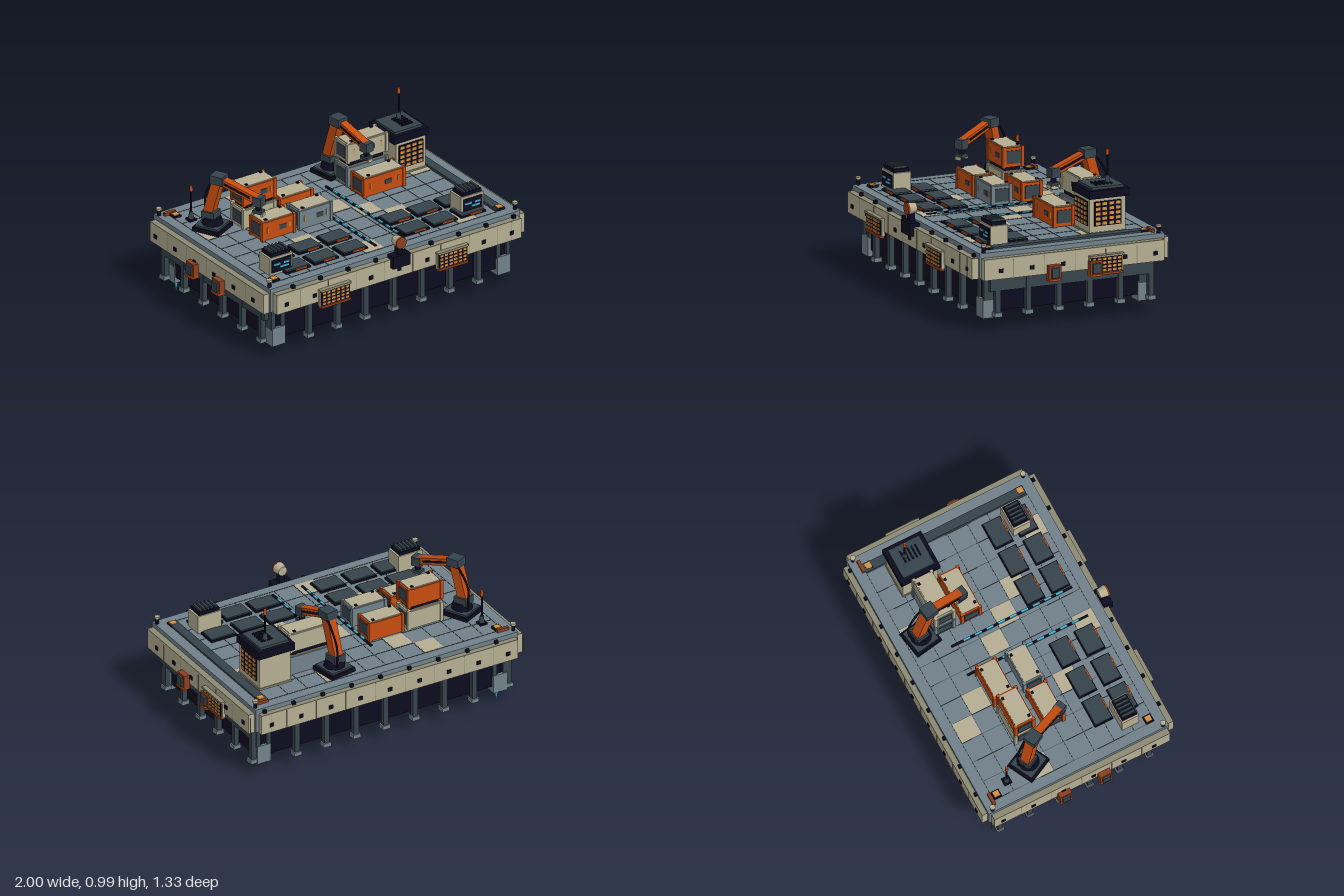
import * as THREE from 'three';

const mat = (name, color) => Object.assign(new THREE.MeshStandardMaterial({ color }), { name });
const M = {
  cream: mat('cream panel', 0xb5ae93),
  khaki: mat('khaki trim', 0x8c8a72),
  grey: mat('deck grey', 0x71818a),
  slate: mat('dark slate', 0x36434c),
  navy: mat('navy black', 0x0d0c20),
  orange: mat('orange paint', 0xc54c10),
  rust: mat('rust', 0x8c3e1e),
  amber: mat('amber light', 0xd89040),
  cyan: mat('cyan light', 0x48b4d2),
};

function add(parent, name, geo, m, x = 0, y = 0, z = 0) {
  const mesh = new THREE.Mesh(geo, m);
  mesh.name = name;
  mesh.position.set(x, y, z);
  parent.add(mesh);
  return mesh;
}
// Box centred in x and z, with its bottom at y
const box = (p, name, m, w, h, d, x, y, z) =>
  add(p, name, new THREE.BoxGeometry(w, h, d), m, x, y + h / 2, z);
// Upright cylinder with its bottom at y
const cyl = (p, name, m, r0, r1, h, x, y, z, n = 8) =>
  add(p, name, new THREE.CylinderGeometry(r1, r0, h, n), m, x, y + h / 2, z);
function group(parent, name, x, y, z, ry = 0) {
  const g = new THREE.Group();
  g.name = name;
  g.position.set(x, y, z);
  g.rotation.y = ry;
  parent.add(g);
  return g;
}

// Lit window panel facing +z, centred on its own origin
function windows(parent, w, h, cols, rows, x, y, z, ry = 0) {
  const g = group(parent, 'windowPanel', x, y, z, ry);
  box(g, 'windowBacking', M.navy, w, h, 0.012, 0, -h / 2, 0);
  const pw = w / cols, ph = h / rows;
  for (let i = 0; i < cols; i++) for (let j = 0; j < rows; j++)
    box(g, 'windowPane', M.amber, pw * 0.68, ph * 0.6, 0.004,
      (i + 0.5) * pw - w / 2, (j + 0.2) * ph - h / 2, 0.007);
  return g;
}

// Cargo crate with rails, lid and end plates
function crate(parent, m, w, x, y, z) {
  const g = group(parent, 'crate', x, y, z), h = 0.13, d = 0.14;
  box(g, 'crateBody', m, w - 0.012, h - 0.012, d - 0.012, 0, 0.004, 0);
  for (const sx of [-1, 1]) {
    for (const sz of [-1, 1])
      box(g, 'cratePost', m, 0.02, h, 0.02, sx * (w / 2 - 0.01), 0, sz * (d / 2 - 0.01));
    box(g, 'crateEndPlate', M.slate, 0.006, 0.08, 0.09, sx * (w / 2 - 0.004), 0.025, 0);
    box(g, 'crateMark', M.amber, 0.008, 0.035, 0.004, sx * w * 0.33, 0.05, d / 2 - 0.005);
    box(g, 'lidClamp', M.navy, 0.016, 0.008, 0.016, sx * w * 0.34, h, -sx * 0.045);
  }
  box(g, 'crateDoor', M.slate, 0.05, 0.03, 0.004, 0.03, 0.05, d / 2 - 0.005);
  box(g, 'crateLid', M.cream, w - 0.03, 0.006, d - 0.025, 0, h - 0.006, 0);
}

// Crane arm reaching along its own +z
function craneArm(parent, x, z, ry, elbow, wrist) {
  const g = group(parent, 'craneArm', x, 0.5, z, ry);
  box(g, 'craneBase', M.navy, 0.18, 0.025, 0.18, 0, 0, 0);
  box(g, 'craneBasePlate', M.slate, 0.155, 0.012, 0.155, 0, 0.025, 0);
  cyl(g, 'turntable', M.navy, 0.066, 0.055, 0.045, 0, 0.035, 0, 12);
  box(g, 'shoulder', M.slate, 0.085, 0.05, 0.085, 0, 0.07, -0.01);
  const shoulder = [0.1, -0.02];
  const beam = (name, a, b, w, t) => {
    const dy = b[0] - a[0], dz = b[1] - a[1];
    const m = add(g, name, new THREE.BoxGeometry(w, Math.hypot(dy, dz), t), M.orange,
      0, (a[0] + b[0]) / 2, (a[1] + b[1]) / 2);
    m.rotation.x = Math.atan2(dz, dy);
    return m;
  };
  beam('lowerArm', shoulder, elbow, 0.062, 0.06);
  beam('forearm', elbow, wrist, 0.05, 0.045);
  for (const s of [-1, 1])
    add(beam('armRib', elbow, wrist, 0.004, 0.014), 'ribLine', new THREE.BoxGeometry(0.004, 0.18, 0.014),
      M.navy, s * 0.026, 0, 0);
  box(g, 'elbowJoint', M.slate, 0.08, 0.055, 0.085, 0, elbow[0] - 0.025, elbow[1]);
  // Gripper
  box(g, 'wristJoint', M.slate, 0.06, 0.06, 0.06, 0, wrist[0] - 0.035, wrist[1]);
  cyl(g, 'gripperStem', M.navy, 0.018, 0.018, 0.04, 0, wrist[0] - 0.07, wrist[1]);
  box(g, 'gripperHead', M.slate, 0.05, 0.02, 0.06, 0, wrist[0] - 0.085, wrist[1]);
  for (const s of [-1, 1])
    box(g, 'gripperFinger', M.cream, 0.04, 0.02, 0.012, 0, wrist[0] - 0.1, wrist[1] + s * 0.03);
  // Hose
  const curve = new THREE.CatmullRomCurve3([
    new THREE.Vector3(0.03, 0.06, -0.06), new THREE.Vector3(0.035, 0.2, -0.065),
    new THREE.Vector3(0.035, elbow[0] - 0.03, elbow[1] - 0.05), new THREE.Vector3(0.03, elbow[0] + 0.01, elbow[1])]);
  add(g, 'hose', new THREE.TubeGeometry(curve, 10, 0.007, 5), M.navy);
}

function mast(parent, x, y, z, h) {
  cyl(parent, 'mastFoot', M.slate, 0.02, 0.012, h * 0.25, x, y, z);
  cyl(parent, 'mastPole', M.navy, 0.006, 0.006, h, x, y, z, 6);
  cyl(parent, 'mastLamp', M.orange, 0.011, 0.009, 0.035, x, y + h - 0.03, z);
}

export function createModel() {
  const root = new THREE.Group();
  root.name = 'cargoPlatform';

  // Hull and deck
  box(root, 'hull', M.navy, 1.72, 0.225, 1.085, 0, 0.12, -0.008);
  box(root, 'underSkirt', M.slate, 1.8, 0.09, 1.05, 0, 0.25, -0.008);
  box(root, 'deck', M.grey, 1.82, 0.155, 1.215, 0, 0.34, -0.015);
  box(root, 'sideRim', M.cream, 1.9, 0.125, 1.185, 0, 0.335, -0.012);
  box(root, 'endRim', M.cream, 1.78, 0.125, 1.29, 0, 0.335, -0.012);
  box(root, 'sideRimCap', M.khaki, 1.9, 0.006, 1.185, 0, 0.459, -0.012);
  box(root, 'endRimCap', M.khaki, 1.78, 0.006, 1.29, 0, 0.459, -0.012);
  for (const s of [-1, 1]) {
    for (let i = -4; i <= 4; i++) {
      box(root, 'rimVent', M.navy, 0.026, 0.024, 0.012, i * 0.205, 0.375, -0.012 + s * 0.645);
      box(root, 'rimBolt', M.navy, 0.022, 0.02, 0.02, i * 0.205 * 0.98 + 0.05, 0.465, -0.012 + s * 0.617);
      box(root, 'rimSeam', M.khaki, 0.004, 0.12, 0.004, i * 0.205 + 0.1 * (i < 4), 0.338, -0.012 + s * 0.645);
    }
    for (let i = 0; i < 6; i++) {
      const z = 0.47 - i * 0.203;
      box(root, 'sideVent', M.navy, 0.012, 0.024, 0.028, s * 0.95, 0.375, z);
      box(root, 'sideSeam', M.khaki, 0.004, 0.11, 0.004, s * 0.95, 0.34, z - 0.08);
    }
    for (const z of [-0.14, 0.13]) {   // side ports
      box(root, 'portFrame', M.rust, 0.04, 0.09, 0.08, s * 0.965, 0.3, z);
      box(root, 'portSill', M.orange, 0.05, 0.012, 0.08, s * 0.97, 0.296, z);
      box(root, 'portDoor', M.slate, 0.032, 0.062, 0.052, s * 0.982, 0.315, z);
    }
  }

  // Deck tiles and seams
  const T = 0.1355, X0 = -0.845, Z0 = -0.555, top = 0.495;
  for (let i = 0; i <= 12; i++) box(root, 'deckSeam', M.slate, 0.003, 0.002, 1.085, X0 + i * T, top, -0.013);
  for (let j = 0; j <= 8; j++) box(root, 'deckSeam', M.slate, 1.63, 0.002, 0.003, -0.03, top, Z0 + j * T);
  for (const [i, j] of [[3, 0], [4, 1], [8, 0], [6, 3], [7, 4], [8, 5], [5, 7], [10, 7], [3, 5], [0, 2], [11, 2]])
    box(root, 'paleTile', M.cream, T - 0.003, 0.003, T - 0.003, X0 + (i + 0.5) * T, top, Z0 + (j + 0.5) * T);

  // Guide tracks
  for (const x of [-0.069, 0.135]) {
    box(root, 'track', M.navy, 0.014, 0.01, 0.815, x, top, 0.083);
    for (let i = 0; i < 9; i++) box(root, 'trackLight', M.cyan, 0.015, 0.006, 0.045, x, top + 0.006, -0.22 + i * 0.078);
  }
  box(root, 'cableDuct', M.slate, 0.058, 0.012, 1.08, 0.815, top, -0.015);

  // Hatches
  for (const x of [-0.63, -0.425, -0.212, 0.238, 0.442, 0.645]) for (const z of [0.257, 0.425]) {
    box(root, 'hatchFrame', M.navy, 0.178, 0.012, 0.124, x, top, z);
    box(root, 'hatchLid', M.slate, 0.164, 0.02, 0.11, x, top, z);
    box(root, 'hatchHandle', M.orange, 0.08, 0.008, 0.008, x + 0.02, top + 0.008, z + 0.06);
  }

  // Corner lights, bollards and columns
  for (const sx of [-1, 1]) for (const sz of [-1, 1]) {
    const z = sz > 0 ? 0.5 : -0.525;
    box(root, 'lampFrame', M.navy, 0.052, 0.012, 0.052, sx * 0.82, top, z);
    box(root, 'deckLamp', M.amber, 0.036, 0.016, 0.036, sx * 0.82, top, z);
    if (sz < 0) box(root, 'cornerMarker', M.rust, 0.08, 0.02, 0.02, sx * 0.835, top, -0.565);
    const bz = sz > 0 ? 0.56 : -0.59;
    cyl(root, 'bollard', M.navy, 0.012, 0.012, 0.06, sx * 0.895, 0.48, bz);
    cyl(root, 'bollardCap', M.cream, 0.018, 0.018, 0.012, sx * 0.895, 0.533, bz);
    const cz = -0.008 + sz * 0.51;
    for (const k of [-1, 1]) box(root, 'cornerStrut', M.slate, 0.028, 0.16, 0.09, sx * 0.82 + k * 0.035, 0.19, cz);
    box(root, 'cornerFoot', M.grey, 0.095, 0.12, 0.1, sx * 0.82, 0.08, cz);
    cyl(root, 'footRing', M.rust, 0.035, 0.04, 0.01, sx * 0.82, 0.072, cz, 10);
    cyl(root, 'footThruster', M.cyan, 0.018, 0.022, 0.008, sx * 0.82, 0.066, cz, 10);
  }
  cyl(root, 'probe', M.cyan, 0.003, 0.014, 0.075, -0.82, 0, -0.518);

  // Legs around the hull
  const leg = (x, z) => {
    box(root, 'leg', M.slate, 0.034, 0.24, 0.034, x, 0.1, z);
    box(root, 'legFoot', M.grey, 0.05, 0.026, 0.05, x, 0.09, z);
  };
  for (let i = -3; i <= 3; i++) for (const z of [0.57, -0.595]) leg(i * 0.205, z);
  for (let i = 0; i < 6; i++) for (const s of [-1, 1]) leg(s * 0.885, 0.467 - i * 0.2015);

  // Lit window bays
  const bay = (x, z, ry) => {
    const g = group(root, 'windowBay', x, 0.36, z, ry);
    box(g, 'bayBox', M.cream, 0.22, 0.1, 0.02, 0, -0.05, 0);
    windows(g, 0.2, 0.092, 6, 4, 0, 0, 0.012);
    box(g, 'bayHood', M.khaki, 0.225, 0.012, 0.035, 0, 0.048, 0.006);
    box(g, 'baySill', M.rust, 0.215, 0.014, 0.03, 0, -0.064, 0.006);
  };
  bay(-0.478, 0.638, 0);
  bay(0.378, 0.638, 0);
  bay(0.955, -0.215, Math.PI / 2);

  // Searchlight at the front edge
  box(root, 'lightBracket', M.navy, 0.125, 0.08, 0.06, 0, 0.41, 0.632);
  box(root, 'lightPost', M.navy, 0.035, 0.07, 0.035, 0, 0.48, 0.625);
  add(root, 'lightHousing', new THREE.CylinderGeometry(0.038, 0.03, 0.05, 14), M.cream, 0, 0.568, 0.622).rotation.x = Math.PI / 2;
  add(root, 'lightLens', new THREE.CylinderGeometry(0.038, 0.038, 0.012, 14), M.rust, 0, 0.568, 0.652).rotation.x = Math.PI / 2;

  // Crates
  crate(root, M.cream, 0.245, -0.472, top, -0.21);
  crate(root, M.orange, 0.245, -0.472, 0.645, -0.21);
  crate(root, M.orange, 0.245, -0.472, top, -0.01);
  crate(root, M.orange, 0.245, -0.203, top, -0.21);
  crate(root, M.grey, 0.245, -0.203, top, -0.01);
  crate(root, M.orange, 0.305, 0.385, top, -0.135);
  crate(root, M.grey, 0.3, 0.385, top, -0.312);
  crate(root, M.cream, 0.3, 0.385, 0.65, -0.312);
  box(root, 'stackSpacer', M.navy, 0.2, 0.022, 0.1, -0.472, 0.624, -0.21);
  box(root, 'stackSpacer', M.navy, 0.25, 0.028, 0.1, 0.385, 0.624, -0.312);

  // Control tower
  const t = group(root, 'controlTower', 0.662, top, -0.312);
  box(t, 'towerBody', M.cream, 0.215, 0.225, 0.235, 0, 0, 0);
  box(t, 'towerPlinth', M.khaki, 0.225, 0.012, 0.245, 0, 0, 0);
  box(t, 'towerRoof', M.navy, 0.25, 0.05, 0.262, 0, 0.22, -0.006);
  box(t, 'roofTier', M.slate, 0.2, 0.016, 0.21, 0, 0.27, -0.006);
  for (let i = -2; i <= 2; i++) box(t, 'roofVent', M.navy, 0.08, 0.01, 0.01, 0.02, 0.284, i * 0.025);
  windows(t, 0.175, 0.15, 4, 5, 0, 0.125, 0.12);
  windows(t, 0.175, 0.15, 4, 5, 0.11, 0.125, 0, Math.PI / 2);
  mast(root, 0.685, 0.775, -0.35, 0.21);
  mast(root, -0.772, top, -0.43, 0.225);
  box(root, 'mastPlate', M.navy, 0.05, 0.012, 0.05, -0.772, top, -0.43);

  // Control consoles
  for (const x of [-0.727, 0.665]) {
    const g = group(root, 'console', x, top, 0.388);
    box(g, 'consoleBody', M.cream, 0.165, 0.115, 0.115, 0, 0, 0);
    box(g, 'consoleTop', M.navy, 0.14, 0.022, 0.1, 0, 0.115, 0);
    for (let i = -2; i <= 2; i++) box(g, 'coolingFin', M.slate, 0.014, 0.014, 0.085, i * 0.026, 0.137, 0);
    box(g, 'consoleScreen', M.navy, 0.14, 0.085, 0.008, 0, 0.015, 0.058);
    for (const [dx, y, w] of [[-0.035, 0.062, 0.05], [0.035, 0.062, 0.04], [0.02, 0.04, 0.06]])
      box(g, 'screenLight', M.cyan, w, 0.012, 0.004, dx, y, 0.063);
  }

  // Crane arms
  craneArm(root, -0.735, -0.262, 0.46, [0.34, 0.045], [0.265, 0.315]);
  craneArm(root, 0.27, -0.46, 0.165, [0.365, 0.06], [0.285, 0.3]);
  return root;
}
